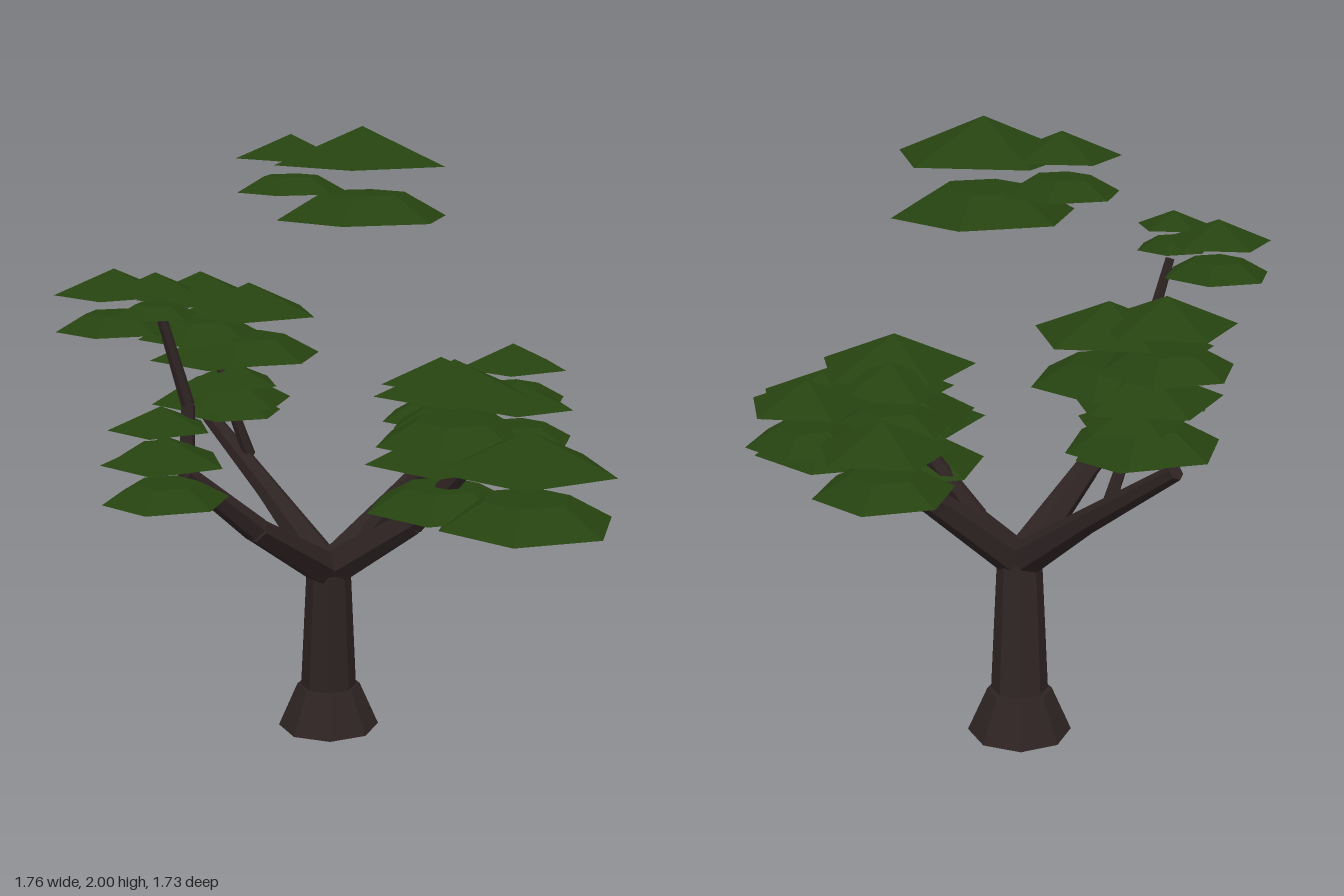
import * as THREE from 'three';

const bark = new THREE.MeshStandardMaterial({ color: 0x2e2323, flatShading: true });
bark.name = 'dark bark';
const leaf = new THREE.MeshStandardMaterial({ color: 0x264210, flatShading: true });
leaf.name = 'deep green foliage';

// Tapered limb running through [x, y, z, radius] points
function limb(name, points, sides = 6) {
  const group = new THREE.Group();
  group.name = name;
  for (let i = 0; i < points.length - 1; i++) {
    const a = new THREE.Vector3(...points[i]);
    const b = new THREE.Vector3(...points[i + 1]);
    const dir = b.clone().sub(a);
    const mesh = new THREE.Mesh(
      new THREE.CylinderGeometry(points[i + 1][3], points[i][3], dir.length(), sides), bark);
    mesh.name = name + 'Segment';
    mesh.position.copy(a).add(b).multiplyScalar(0.5);
    mesh.quaternion.setFromUnitVectors(new THREE.Vector3(0, 1, 0), dir.normalize());
    group.add(mesh);
  }
  return group;
}

// Leaf pad: six-sided lower tier and a five-sided cap floating above it
function leafPad([x, top, z, r]) {
  const pad = new THREE.Group();
  pad.name = 'leafPad';
  const lower = new THREE.Mesh(new THREE.CylinderGeometry(r * 0.5, r, r * 0.28, 6), leaf);
  lower.name = 'lowerTier';
  lower.position.y = r * 0.14;
  const cap = new THREE.Mesh(new THREE.ConeGeometry(r, r * 0.42, 5, 1, false, Math.PI / 2), leaf);
  cap.name = 'upperTier';
  cap.position.y = r * 0.81;
  pad.add(lower, cap);
  pad.position.set(x, top - r * 1.02, z);
  return pad;
}

export function createModel() {
  const tree = new THREE.Group();
  tree.name = 'tree';

  // Trunk with a flared foot
  tree.add(limb('rootFlare', [[0.065, 0, -0.165, 0.168], [0.065, 0.145, -0.165, 0.105]], 8));
  tree.add(limb('trunk', [[0.06, 0.13, -0.16, 0.093], [0.02, 0.56, -0.12, 0.073]], 8));

  // Main boughs, all leaving the fork
  const fork = [0.02, 0.56, -0.12, 0.062];
  tree.add(limb('rightBough', [fork, [-0.35, 0.78, -0.08, 0.042], [-0.61, 1.0, -0.12, 0.03]]));
  tree.add(limb('backBough', [fork, [0.04, 0.78, -0.42, 0.04], [0.06, 1.03, -0.78, 0.026]]));
  tree.add(limb('leftBough', [fork, [0.29, 0.8, -0.02, 0.045], [0.58, 1.03, 0.05, 0.026]]));
  tree.add(limb('frontBough', [fork, [0.11, 0.76, 0.17, 0.042], [0.13, 0.98, 0.38, 0.028]]));

  // Thin twigs
  tree.add(limb('rightTwig', [[-0.6, 0.98, -0.12, 0.025], [-0.57, 1.2, -0.14, 0.021],
    [-0.63, 1.46, -0.18, 0.016]]));
  tree.add(limb('backTwig', [[0.06, 0.88, -0.53, 0.022], [0, 1.05, -0.55, 0.018],
    [-0.02, 1.24, -0.6, 0.015]]));
  tree.add(limb('frontTwig', [[0.09, 0.7, 0, 0.035], [0.2, 0.98, 0.2, 0.025]]));
  tree.add(limb('leftTwig', [[0.27, 0.76, 0.13, 0.025], [0.27, 0.9, 0.13, 0.02]]));

  // Leaf pads: x, top height, z, radius
  const pads = [
    // crown
    [0.16, 2.0, -0.1, 0.285], [0.07, 1.97, -0.33, 0.18],
    // right clusters, high and low
    [-0.68, 1.605, -0.335, 0.18], [-0.68, 1.61, -0.15, 0.125],
    [-0.71, 1.135, -0.09, 0.192], [-0.67, 1.21, -0.15, 0.16],
    // back cluster
    [-0.05, 1.51, -0.64, 0.217], [0.02, 1.48, -0.48, 0.24],
    [0.02, 1.31, -0.62, 0.242], [0.03, 1.2, -0.58, 0.17],
    // left cluster
    [0.65, 1.185, -0.175, 0.213], [0.69, 1.26, 0.11, 0.19],
    // front cluster
    [0.165, 1.11, 0.58, 0.287], [0.21, 1.285, 0.25, 0.262],
    [0.44, 1.19, 0.33, 0.185], [0.34, 1.24, 0.13, 0.2], [0.12, 1.08, 0.28, 0.25],
  ];
  const foliage = new THREE.Group();
  foliage.name = 'foliage';
  pads.forEach((p) => foliage.add(leafPad(p)));
  tree.add(foliage);
  return tree;
}
